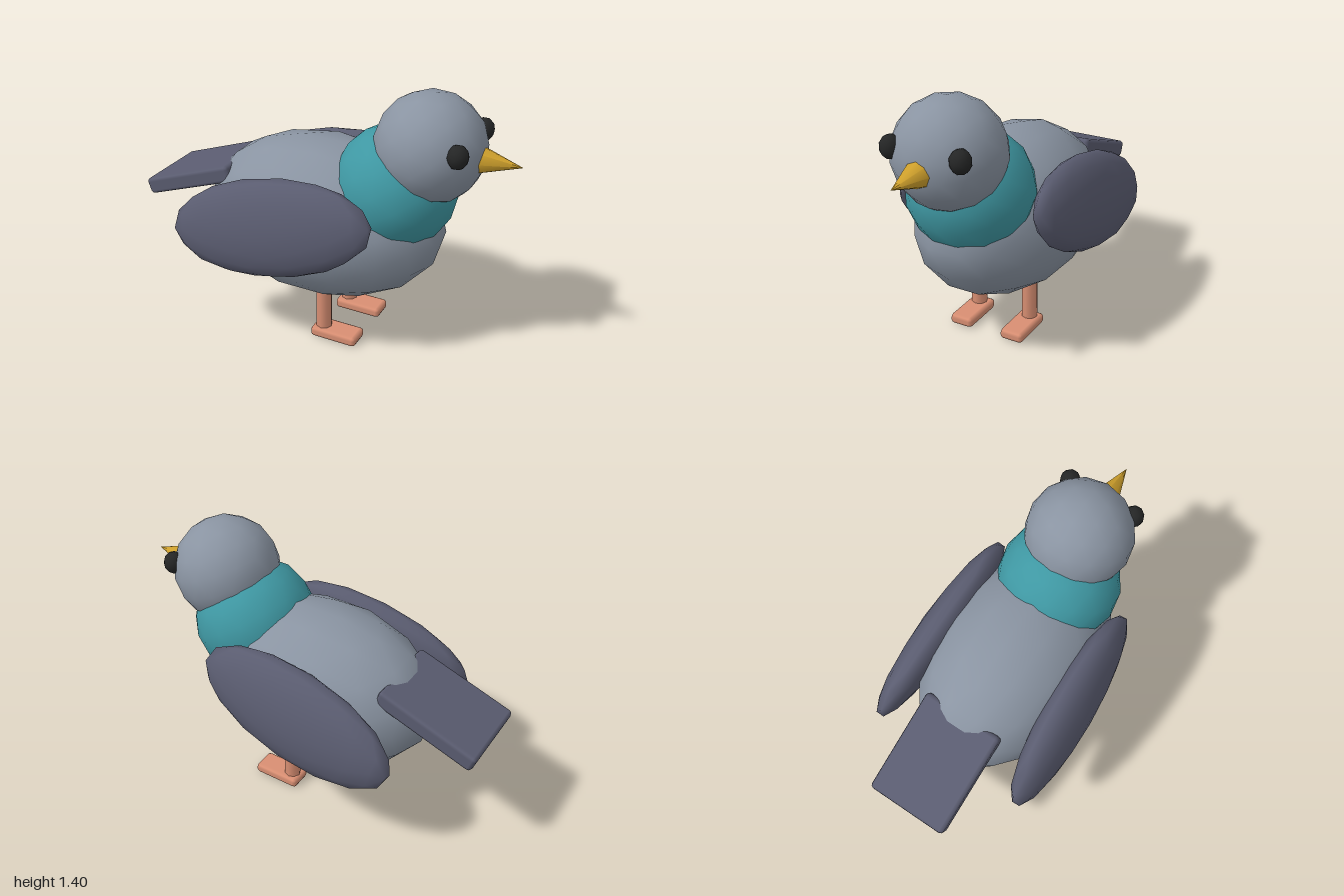
import * as THREE from 'three';
import { RoundedBoxGeometry } from 'three/addons/geometries/RoundedBoxGeometry.js';

const material = (name, color) => {
  const m = new THREE.MeshStandardMaterial({ color });
  m.name = name;
  return m;
};

export function createModel() {
  const plumage = material('grey plumage', 0x8a94a2);
  const slate = material('slate feathers', 0x5a5c70);
  const teal = material('teal neck', 0x3f98a3);
  const gold = material('gold beak', 0xd0a12c);
  const pink = material('pink legs', 0xd98f73);
  const black = material('black eyes', 0x252626);

  const bird = new THREE.Group();
  bird.name = 'bird';

  const add = (name, geometry, mat, position, rotation = [0, 0, 0]) => {
    const mesh = new THREE.Mesh(geometry, mat);
    mesh.name = name;
    mesh.position.set(...position);
    mesh.rotation.set(...rotation);
    bird.add(mesh);
    return mesh;
  };
  // Smooth low-poly ellipsoid with the given radii
  const blob = (rx, ry, rz, detail = 2) => {
    const g = new THREE.IcosahedronGeometry(1, detail);
    g.scale(rx, ry, rz);
    return g;
  };

  // Body, neck and head, facing +x
  add('body', blob(0.65, 0.425, 0.425), plumage, [-0.01, 0.64, 0]);
  add('neck', blob(0.315, 0.315, 0.32), teal, [0.38, 0.88, 0]);
  add('head', blob(0.275, 0.275, 0.275), plumage, [0.55, 1.122, 0], [0, 0, 0.15]);

  // Beak
  add('beak', new THREE.ConeGeometry(0.078, 0.23, 8), gold, [0.885, 1.105, 0], [0, 0, -Math.PI / 2]);

  // Tail slab, sloping down to the rear
  add('tail', new RoundedBoxGeometry(0.55, 0.09, 0.43, 1, 0.02), slate, [-0.72, 0.753, 0], [0, 0, 0.34]);

  // Paired parts
  for (const [side, s] of [['left', -1], ['right', 1]]) {
    // The bird's own left is -z, since it faces +x
    add(`${side}Wing`, blob(0.555, 0.25, 0.107), slate, [-0.12, 0.71, s * 0.397], [-s * 0.2, 0, 0.215]);
    add(`${side}Eye`, blob(0.052, 0.06, 0.052, 1), black, [0.747, 1.18, s * 0.183]);
    add(`${side}Leg`, new THREE.CylinderGeometry(0.043, 0.043, 0.27, 8), pink, [0.063, 0.165, s * 0.155]);
    add(`${side}Foot`, new RoundedBoxGeometry(0.26, 0.055, 0.13, 1, 0.02), pink, [0.138, 0.0275, s * 0.152]);
  }
  return bird;
}
